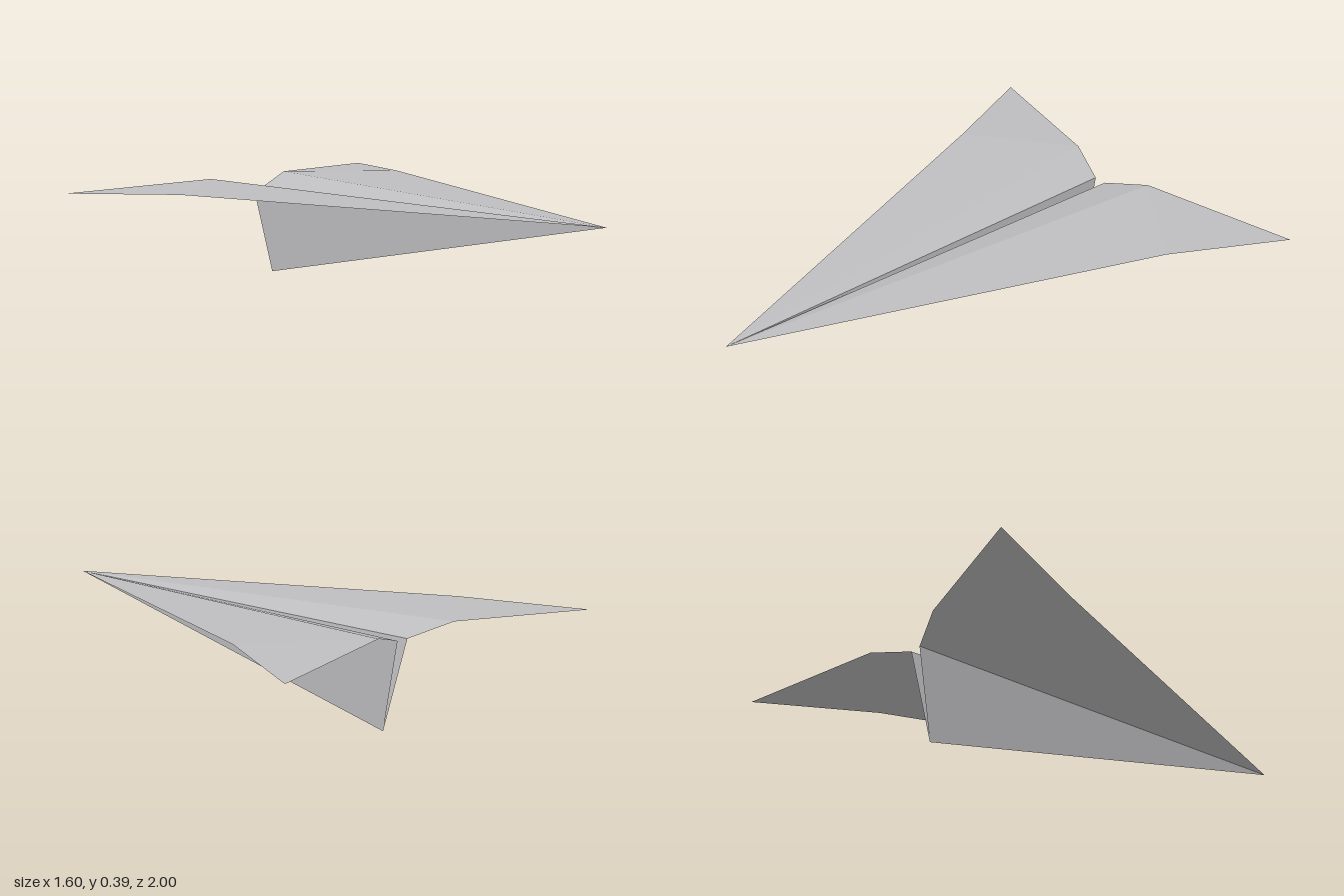
import * as THREE from 'three';

const paper = new THREE.MeshStandardMaterial({ color: 0xbebec0, side: THREE.DoubleSide });
paper.name = 'grey paper';

// Fold points of the left half; the right half mirrors them
const nose = [0, 0.355, 1];
const keelFoot = [0, 0, -0.7];
const wingRoot = [0.026, 0.345, -0.78];
const creaseEnd = [0.2, 0.39, -0.845];
const edgeBend = [0.59, 0.385, -0.55];
const wingTip = [0.8, 0.37, -1];

// Flat-faced sheet from triangles, side = 1 for left and -1 for right
function sheet(name, triangles, side) {
  const points = triangles.flatMap(([a, b, c]) => (side > 0 ? [a, b, c] : [a, c, b]));
  const geometry = new THREE.BufferGeometry();
  geometry.setAttribute('position', new THREE.Float32BufferAttribute(
    points.flatMap(([x, y, z]) => [x * side, y, z]), 3));
  geometry.computeVertexNormals();
  const mesh = new THREE.Mesh(geometry, paper);
  mesh.name = name;
  return mesh;
}

export function createModel() {
  const plane = new THREE.Group();
  plane.name = 'paperPlane';
  for (const [label, side] of [['left', 1], ['right', -1]]) {
    // Raised strip beside the centre fold
    plane.add(sheet(label + 'InnerWing', [[nose, creaseEnd, wingRoot]], side));
    // Broad outer wing with its drooping rear tip
    plane.add(sheet(label + 'OuterWing', [
      [nose, edgeBend, creaseEnd],
      [edgeBend, wingTip, creaseEnd],
    ], side));
    // One wall of the V-shaped keel
    plane.add(sheet(label + 'Keel', [[nose, keelFoot, wingRoot]], side));
  }
  return plane;
}
